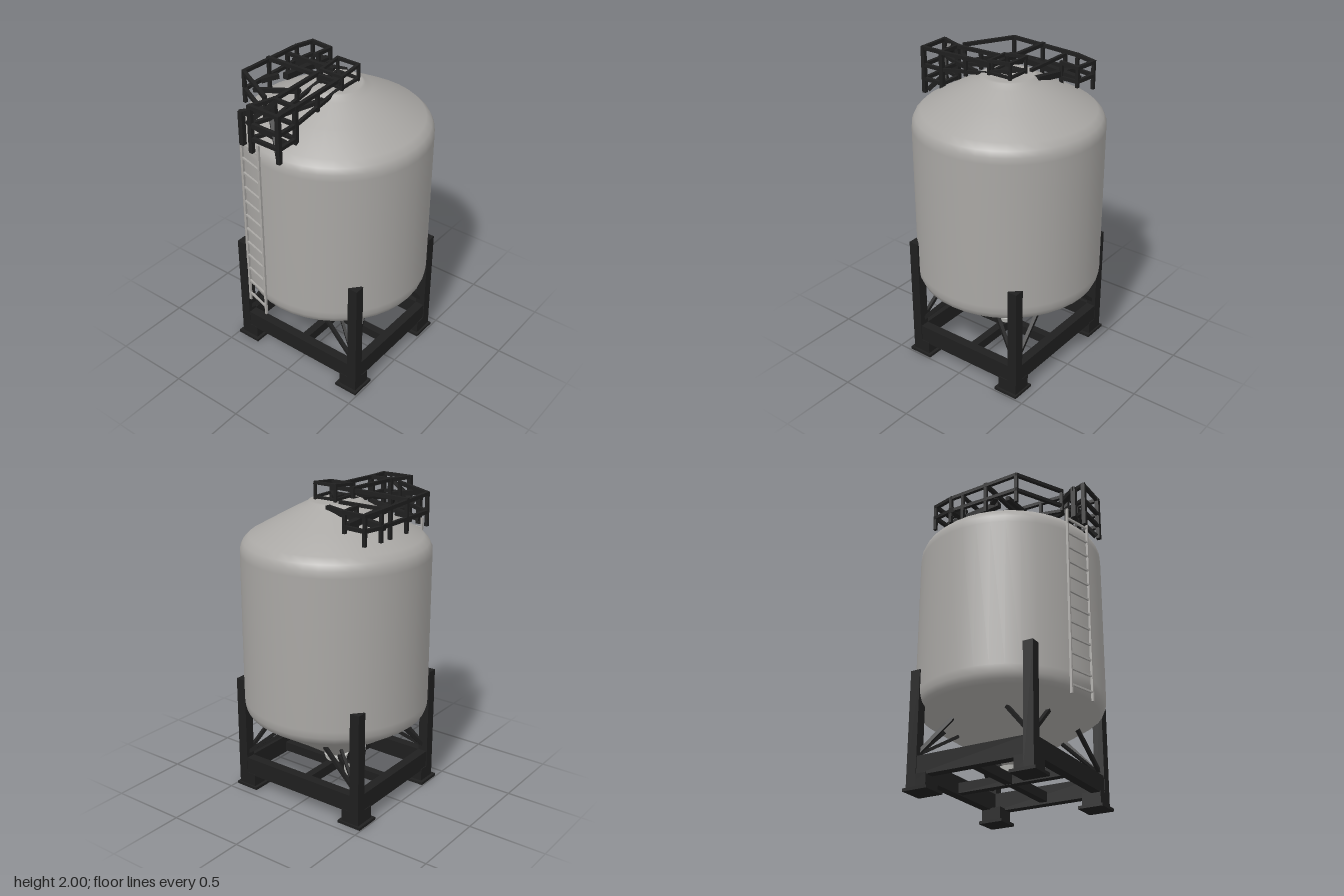
import * as THREE from 'three';

const steel = new THREE.MeshStandardMaterial({ color: 0xa9a7a4 });
steel.name = 'tank grey';
const black = new THREE.MeshStandardMaterial({ color: 0x1f1f1f });
black.name = 'frame black';
const pale = new THREE.MeshStandardMaterial({ color: 0xc4c4c0 });
pale.name = 'outlet pale grey';

const TX = 0.02; // tank axis

function box(parent, name, x0, x1, y0, y1, z0, z1, mat = black) {
  const m = new THREE.Mesh(new THREE.BoxGeometry(x1 - x0, y1 - y0, z1 - z0), mat);
  m.position.set((x0 + x1) / 2, (y0 + y1) / 2, (z0 + z1) / 2);
  m.name = name;
  parent.add(m);
}

// Square bar between two points
function bar(parent, name, a, b, t = 0.02, mat = black) {
  const p = new THREE.Vector3(...a), q = new THREE.Vector3(...b);
  const m = new THREE.Mesh(new THREE.BoxGeometry(t, t, p.distanceTo(q) + t * 0.8), mat);
  m.position.copy(p).add(q).multiplyScalar(0.5);
  m.lookAt(q);
  m.name = name;
  parent.add(m);
}

function path(parent, name, pts, t, mat) {
  for (let i = 1; i < pts.length; i++) bar(parent, name, pts[i - 1], pts[i], t, mat);
}

function group(root, name) {
  const g = new THREE.Group();
  g.name = name;
  root.add(g);
  return g;
}

export function createModel() {
  const root = new THREE.Group();
  root.name = 'silo';

  // Tank: cone bottom, straight wall, sloped roof with flat cap
  const profile = [
    [0, 0.2], [0.045, 0.2], [0.06, 0.21], [0.3, 0.375], [0.54, 0.53], [0.565, 0.55], [0.58, 0.585],
    [0.584, 0.63], [0.584, 1.57], [0.581, 1.61], [0.565, 1.645], [0.53, 1.68],
    [0.37, 1.77], [0.21, 1.857], [0.18, 1.87], [0.165, 1.885], [0.15, 1.89], [0, 1.893],
  ].map(([r, y]) => new THREE.Vector2(r, y));
  const tank = new THREE.Mesh(new THREE.LatheGeometry(profile, 40), steel);
  tank.position.x = TX;
  tank.name = 'tank';
  root.add(tank);

  // Support frame: legs, feet, perimeter beams, cross beams
  const frame = group(root, 'supportFrame');
  for (const sx of [-1, 1]) for (const sz of [-1, 1]) {
    const lx = sx < 0 ? [-0.4, -0.335] : [0.37, 0.435];
    const fx = sx < 0 ? [-0.42, -0.255] : [0.28, 0.445];
    const lz = sz < 0 ? [-0.475, -0.41] : [0.41, 0.475];
    const fz = sz < 0 ? [-0.495, -0.33] : [0.33, 0.49];
    const top = sx < 0 ? (sz > 0 ? 0.82 : 0.77) : 0.75;
    box(frame, 'leg', ...lx, 0.01, top, ...lz);
    box(frame, 'footPlate', ...fx, 0, 0.018, ...fz);
    const inX = sx < 0 ? [-0.4, -0.275] : [0.3, 0.435];
    const inZ = sz < 0 ? [-0.475, -0.35] : [0.35, 0.475];
    box(frame, 'footBlock', ...inX, 0.015, 0.1, ...inZ);

    // Braces from the leg base up to the cone
    const base = [(lx[0] + lx[1]) / 2, 0.22, sz * 0.44];
    bar(frame, 'brace', base, [TX + sx * 0.19, 0.44, sz * 0.36], 0.022);
    bar(frame, 'brace', base, [TX + sx * 0.36, 0.44, sz * 0.19], 0.022);
    bar(frame, 'brace', base, [TX + sx * 0.24, 0.38, sz * 0.22], 0.018);
  }
  for (const z of [-0.44, 0.44]) box(frame, 'sideBeam', -0.38, 0.415, 0.09, 0.208, z - 0.03, z + 0.03);
  for (const x of [-0.367, 0.402]) box(frame, 'sideBeam', x - 0.03, x + 0.03, 0.092, 0.206, -0.43, 0.43);
  box(frame, 'crossBeam', -0.36, 0.4, 0.1, 0.165, -0.025, 0.025);
  box(frame, 'crossBeam', TX - 0.025, TX + 0.025, 0.102, 0.163, -0.43, 0.43);

  // Outlet under the cone, with a pipe to the back
  const outlet = group(root, 'outlet');
  const spout = new THREE.Mesh(new THREE.CylinderGeometry(0.08, 0.07, 0.035, 16), pale);
  spout.position.set(TX, 0.187, 0);
  spout.name = 'spout';
  outlet.add(spout);
  path(outlet, 'outletPipe', [[0.02, 0.2, -0.02], [0.12, 0.23, -0.12], [0.2, 0.24, -0.22]], 0.03);
  bar(outlet, 'pipeEnd', [0.2, 0.24, -0.22], [0.25, 0.25, -0.27], 0.035, pale);

  // Ladder on the right side of the wall
  const ladder = group(root, 'ladder');
  const la = [-0.53, -0.262], lb = [-0.578, -0.09];
  for (const [x, z] of [la, lb]) bar(ladder, 'ladderRail', [x, 0.49, z], [x, 1.7, z], 0.014, steel);
  for (let i = 0; i < 12; i++) {
    const y = 0.54 + i * 0.1;
    bar(ladder, 'rung', [la[0], y, la[1]], [lb[0], y, lb[1]], 0.012, steel);
  }

  // Landing cage at the ladder head
  const cage = group(root, 'landingCage');
  const corners = [[-0.585, 0.07], [-0.585, -0.13], [-0.44, -0.08], [-0.44, 0.07]];
  for (const [x, z] of corners) bar(cage, 'cagePost', [x, 1.66, z], [x, 1.94, z], 0.026);
  for (const y of [1.74, 1.83, 1.94])
    path(cage, 'cageRail', [...corners, corners[0]].map(([x, z]) => [x, y, z]), 0.022);
  bar(cage, 'cageBrace', [-0.57, 1.67, 0.05], [-0.45, 1.83, -0.1], 0.024);
  bar(cage, 'cageBrace', [-0.58, 1.82, -0.12], [-0.46, 1.7, 0.03], 0.024);
  path(cage, 'ladderHead', [[-0.56, 1.67, -0.22], [-0.56, 1.86, -0.22], [-0.42, 1.86, -0.12]], 0.03);
  bar(cage, 'ladderHead', [-0.54, 1.8, -0.19], [-0.48, 1.94, -0.05], 0.024);

  // Walkway rails from the cage to the roof centre
  const walkway = group(root, 'walkwayRails');
  for (const z of [-0.075, 0.072]) {
    bar(walkway, 'topRail', [-0.44, 1.94, z], [-0.05, 1.95, z], 0.022);
    bar(walkway, 'lowRail', [-0.44, 1.83, z], [-0.05, 1.89, z], 0.02);
    for (const x of [-0.25, -0.05]) bar(walkway, 'post', [x, 1.84, z], [x, 1.945, z], 0.02);
  }
  bar(walkway, 'diagonal', [-0.43, 1.84, -0.06], [-0.19, 1.87, 0.055], 0.025);

  // Guard rail around the back of the roof
  const guard = group(root, 'roofGuardRail');
  const route = [[-0.44, -0.15], [-0.28, -0.45], [0.2, -0.45], [0.33, -0.43], [0.315, -0.28], [0.2, -0.28]];
  const high = (x) => 1.93 - 0.08 * Math.max(0, x);
  path(guard, 'topRail', route.map(([x, z]) => [x, high(x), z]), 0.022);
  path(guard, 'lowRail', route.map(([x, z]) => [x, 1.82, z]), 0.022);
  for (const [x, z] of [...route, [-0.06, -0.45], [0.11, -0.45]])
    bar(guard, 'post', [x, z < -0.4 ? 1.74 : 1.79, z], [x, high(x), z], 0.02);

  // Roof platform beams
  bar(guard, 'platformBeam', [-0.06, 1.93, -0.45], [-0.06, 1.94, 0.08], 0.024);
  bar(guard, 'platformBeam', [0.11, 1.9, -0.45], [0.11, 1.9, -0.1], 0.02);
  bar(guard, 'platformBeam', [0.19, 1.82, -0.45], [0.18, 1.87, -0.07], 0.036);
  bar(guard, 'platformBeam', [-0.06, 1.86, -0.31], [0.3, 1.83, -0.3], 0.038);
  bar(guard, 'platformBeam', [-0.21, 1.79, -0.43], [-0.17, 1.86, -0.13], 0.026);
  bar(guard, 'platformBeam', [-0.13, 1.82, -0.44], [-0.07, 1.84, -0.38], 0.03);

  // Open hatch frame on the cap
  const hatch = group(root, 'hatchFrame');
  const sq = [[-0.055, -0.055], [0.1, -0.055], [0.1, 0.095], [-0.055, 0.095], [-0.055, -0.055]];
  path(hatch, 'hatchTop', sq.map(([x, z]) => [x, x < 0 ? 1.975 : 1.99, z]), 0.018);
  for (const [x, z] of sq.slice(0, 4)) bar(hatch, 'hatchPost', [x, 1.89, z], [x, x < 0 ? 1.975 : 1.99, z], 0.016);
  path(hatch, 'hatchBase', sq.map(([x, z]) => [x, 1.905, z]), 0.016);
  bar(hatch, 'hatchDiagonal', [-0.05, 1.91, 0.09], [0.095, 1.91, -0.05], 0.02);
  box(hatch, 'hatchBlock', -0.025, 0.04, 1.885, 1.915, -0.025, 0.035);

  return root;
}
